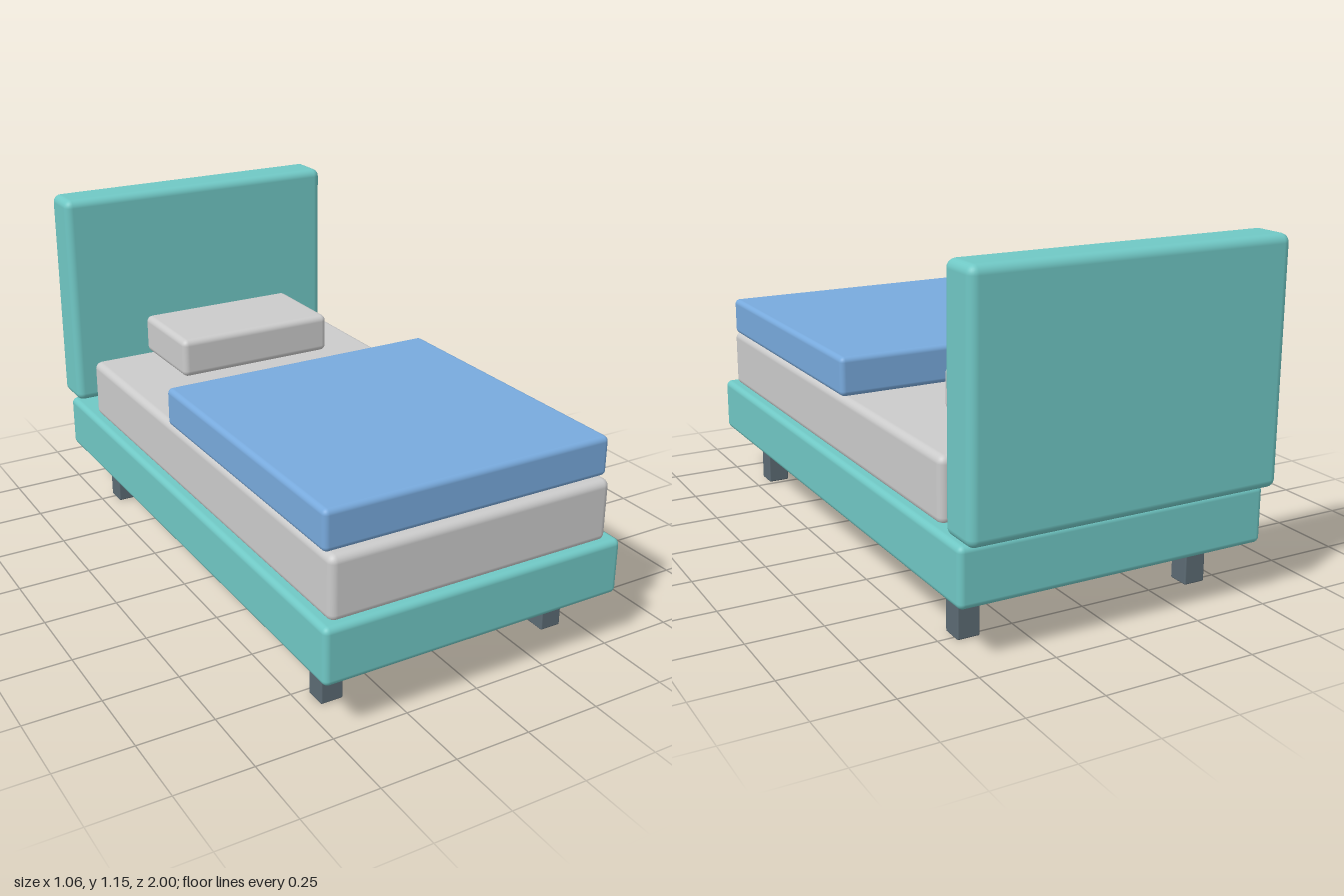
import * as THREE from 'three';
import { RoundedBoxGeometry } from 'three/addons/geometries/RoundedBoxGeometry.js';

const material = (color) => new THREE.MeshStandardMaterial({ color });

// Soft-edged block given by its [min, max] extents on each axis
function block(name, [x0, x1], [y0, y1], [z0, z1], radius, mat) {
  const geometry = new RoundedBoxGeometry(x1 - x0, y1 - y0, z1 - z0, 3, radius);
  const mesh = new THREE.Mesh(geometry, mat);
  mesh.name = name;
  mesh.position.set((x0 + x1) / 2, (y0 + y1) / 2, (z0 + z1) / 2);
  return mesh;
}

export function createModel() {
  const bed = new THREE.Group();
  bed.name = 'bed';

  const upholstery = material(0x70c8c5);
  const linen = material(0xcccccc);
  const blanketBlue = material(0x78aadd);
  const legGrey = material(0x5c6b74);

  // Upholstered base and headboard
  bed.add(
    block('base', [-0.53, 0.53], [0.175, 0.365], [-0.94, 1], 0.02, upholstery),
    block('headboard', [-0.53, 0.53], [0.375, 1.152], [-1, -0.85], 0.028, upholstery)
  );

  // Bedding: the mattress sinks slightly into the base
  bed.add(
    block('mattress', [-0.495, 0.495], [0.355, 0.565], [-0.76, 0.97], 0.025, linen),
    block('blanket', [-0.5, 0.5], [0.565, 0.697], [-0.083, 0.943], 0.018, blanketBlue),
    block('pillow', [-0.293, 0.293], [0.582, 0.72], [-0.73, -0.392], 0.022, linen)
  );

  // Four square legs
  const half = 0.0375;
  for (const [end, z] of [['front', 0.804], ['back', -0.738]]) {
    for (const [side, x] of [['Left', 0.41], ['Right', -0.41]]) {
      bed.add(block(`${end}${side}Leg`, [x - half, x + half], [0, 0.18], [z - half, z + half], 0.005, legGrey));
    }
  }

  return bed;
}
